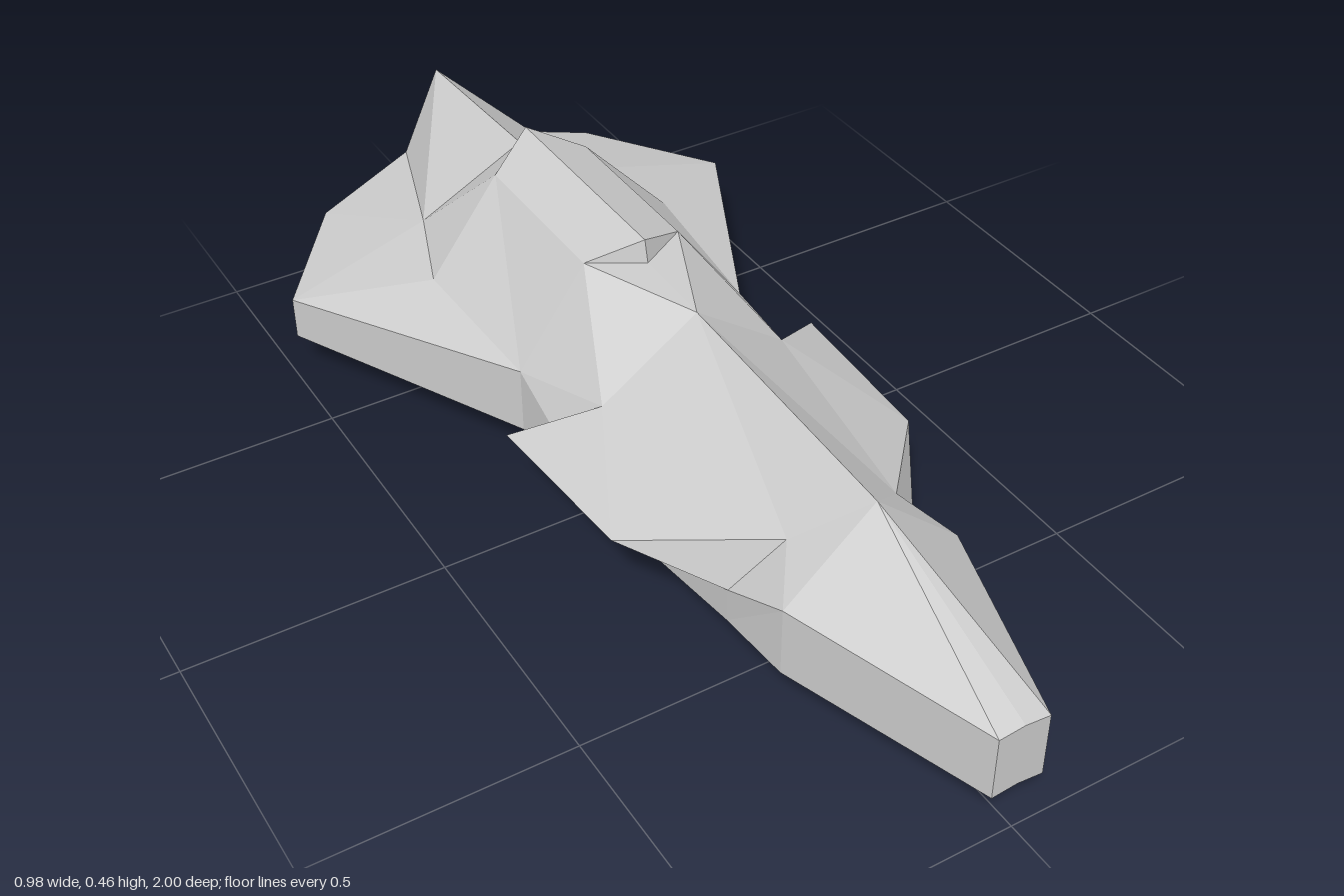
import * as THREE from 'three';

// Corner points of the left (+x) half; lower-case = upper hull, upper-case = floor
const P = {
  // nose and foredeck
  a: [0, .23, 1], b: [.05, .225, 1], c: [.175, .225, .6], d: [0, .38, .6],
  // side pod
  e: [.11, .28, .51], f: [.19, .165, .46], g: [.31, .193, .28], h: [.33, .19, -.065],
  i: [.19, .27, .04], j: [.245, .17, -.02], k: [.24, .222, -.18],
  // deck around the canopy, tail
  l: [0, .41, .05], m: [.1, .415, -.18], n: [.1, .415, -.53], o: [.26, .245, -.5],
  p: [.19, .25, -.69], q: [0, .41, -.62], r: [0, .39, -1], s: [.085, .215, -1],
  // wing tips
  t: [.49, .177, -.67], u: [.31, .18, -.92],
  // canopy ridge and front foot
  v: [0, .46, -.13], w: [0, .46, -.59], x: [0, .415, -.12],
  // floor rim
  A: [0, .1, 1], B: [.05, .095, 1], C: [.175, .085, .6], F: [.185, .085, .45],
  J: [.24, .085, -.02], K: [.24, .085, -.18], T: [.49, .09, -.67], U: [.31, .09, -.92],
  S: [.085, .087, -1], R: [0, .087, -1],
  // keel line
  X: [0, 0, .6], Y: [0, 0, .45], Z: [0, .077, .02],
};

// Walls join each rim point to the floor point below it
const rim = 'abcfjktusr';
const walls = [];
for (let n = 0; n < rim.length - 1; n++) {
  const [p, q] = [rim[n], rim[n + 1]];
  walls.push(p + p.toUpperCase() + q.toUpperCase() + q);
}

// Each part lists its polygons by corner, anticlockwise from outside
const parts = {
  nose: ['abd', 'bcd', 'ced', 'cfe'],
  sidePods: ['efg', 'egi', 'ghi', 'hji', 'fjhg'],
  deck: ['del', 'eil', 'lim', 'ijk', 'ikm', 'lmx', 'konm', 'opn', 'npq'],
  tail: ['qpr', 'psr'],
  rearWings: ['kto', 'otp', 'tup', 'usp'],
  canopy: ['vmnw', 'wnq', 'xmv'],
  sideWalls: walls,
  keel: ['AXB', 'BXC', 'CXYF', 'FYZJ'],
  floor: ['JZK', 'KZRSUT'],
};

// Fan every polygon into triangles and mirror it across x = 0
function mirroredGeometry(polygons) {
  const pos = [];
  for (const poly of polygons) {
    for (let n = 1; n < poly.length - 1; n++) {
      const tri = [P[poly[0]], P[poly[n]], P[poly[n + 1]]];
      for (const c of tri) pos.push(...c);
      for (const c of tri.reverse()) pos.push(-c[0], c[1], c[2]);
    }
  }
  const geo = new THREE.BufferGeometry();
  geo.setAttribute('position', new THREE.Float32BufferAttribute(pos, 3));
  geo.computeVertexNormals();
  return geo;
}

export function createModel() {
  const group = new THREE.Group();
  group.name = 'spaceship';
  const material = new THREE.MeshStandardMaterial({ color: 0xcccccc, flatShading: true });
  for (const [name, polygons] of Object.entries(parts)) {
    const mesh = new THREE.Mesh(mirroredGeometry(polygons), material);
    mesh.name = name;
    group.add(mesh);
  }
  return group;
}
